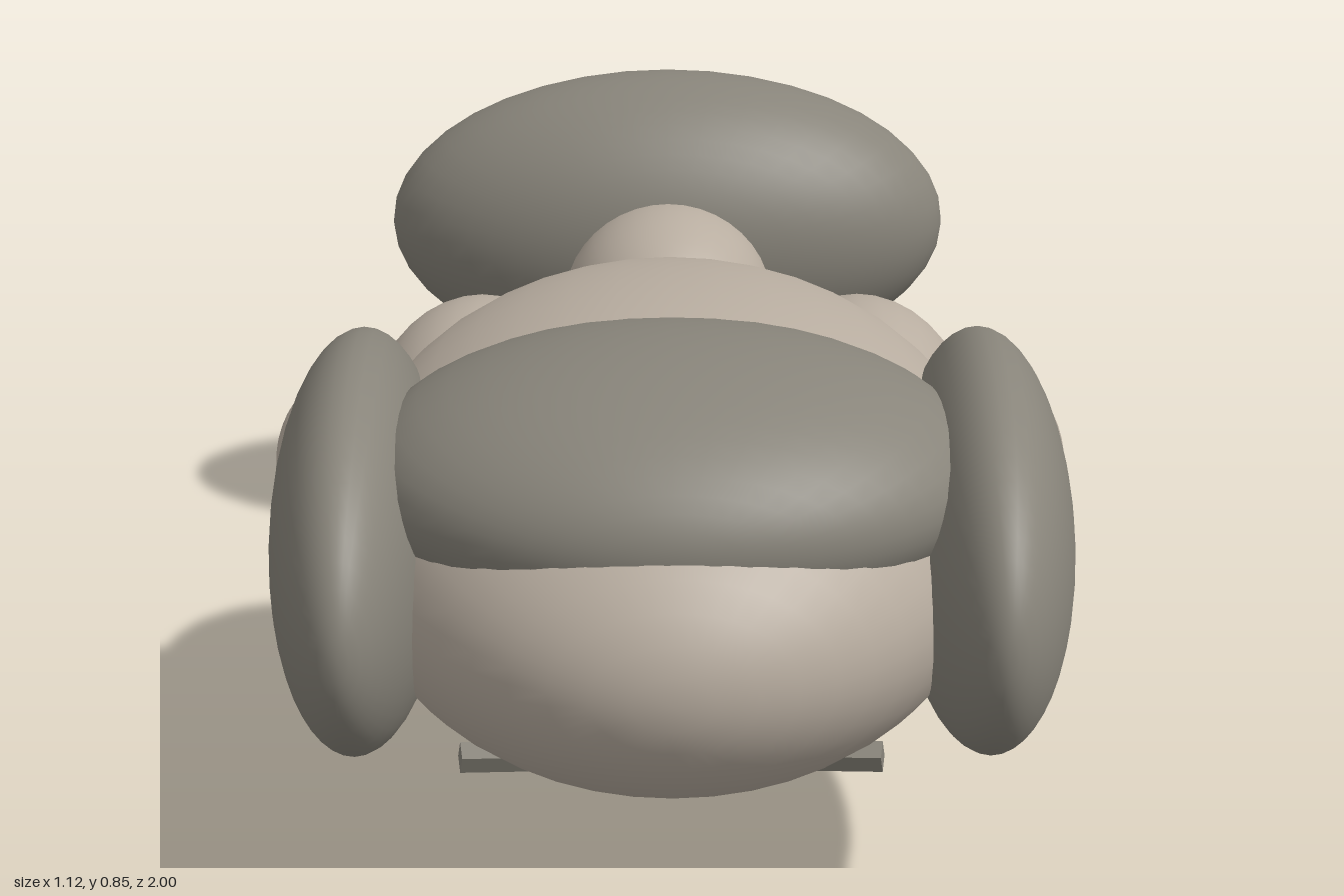
import * as THREE from 'three';

export function createModel() {
  const model = new THREE.Group();
  const skin = new THREE.MeshStandardMaterial({ color: 0xb8ada0 });
  skin.name = 'warm stone';
  const hair = new THREE.MeshStandardMaterial({ color: 0x88847a });
  hair.name = 'grey stone';

  const add = (name, geometry, material, pos, rot = [0, 0, 0]) => {
    const mesh = new THREE.Mesh(geometry, material);
    mesh.name = name;
    mesh.position.set(...pos);
    mesh.rotation.set(...rot);
    model.add(mesh);
    return mesh;
  };
  // Ellipsoid with its poles along z
  const blob = (name, material, pos, radii, rot) => {
    const g = new THREE.SphereGeometry(1, 40, 28);
    g.rotateX(Math.PI / 2);
    g.scale(...radii);
    return add(name, g, material, pos, rot);
  };

  // Head, lying face down with the crown towards +z
  blob('head', skin, [0, 0.49, 0.37], [0.44, 0.3, 0.63]);
  blob('topHair', hair, [0, 0.63, 0.6], [0.39, 0.17, 0.325]);

  // Neck and wide end mass
  blob('neck', skin, [0, 0.51, -0.5], [0.175, 0.17, 0.22]);
  blob('shoulders', hair, [0, 0.592, -0.755], [0.482, 0.262, 0.245]);

  // Paired parts of the head
  for (const s of [1, -1]) {
    const side = s > 0 ? 'left' : 'right';
    blob(side + 'SideHair', hair, [s * 0.4, 0.515, 0.535], [0.112, 0.25, 0.4], [0, -s * 0.04, 0]);
    blob(side + 'Cheek', skin, [s * 0.275, 0.455, 0.09], [0.18, 0.237, 0.265]);
    blob(side + 'Ear', skin, [s * 0.48, 0.49, 0.175], [0.08, 0.105, 0.165]);
    blob(side + 'Moustache', skin, [s * 0.155, 0.12, 0.09], [0.155, 0.078, 0.07], [0, 0, s * 0.08]);

    // Eye with lid and pupil, facing down
    blob(side + 'Eye', skin, [s * 0.2, 0.213, 0.425], [0.1, 0.026, 0.065]);
    add(side + 'Pupil', new THREE.CylinderGeometry(0.036, 0.026, 0.04, 20), skin, [s * 0.185, 0.175, 0.42]);

    // Two-piece bent brow
    for (const k of [1, -1]) {
      add(side + 'Brow', new THREE.BoxGeometry(0.104, 0.028, 0.03), hair,
        [s * 0.185 + k * 0.048, 0.18, 0.51], [0.4, -k * 0.15, k * 0.15]);
    }
    blob(side + 'Nostril', hair, [s * 0.04, 0.03, 0.135], [0.014, 0.014, 0.014]);
  }

  // Nose
  blob('noseBridge', skin, [0, 0.16, 0.285], [0.08, 0.085, 0.17]);
  blob('noseTip', skin, [0, 0.1, 0.174], [0.105, 0.095, 0.068]);

  // Beard in overlapping, tapering layers
  const layers = [
    [0.2, 0.0, 0.27, 0.12, 0.17],
    [0.22, -0.17, 0.262, 0.11, 0.15],
    [0.25, -0.32, 0.2, 0.125, 0.17],
    [0.285, -0.445, 0.14, 0.08, 0.11],
  ];
  layers.forEach(([y, z, rx, ry, rz], i) =>
    blob('beardLayer' + (i + 1), skin, [0, y, z], [rx, ry, rz], [0.2, 0, 0]));

  // Fine strands fanned over the underside of the beard
  for (let i = -5; i <= 5; i++) {
    const t = i / 5;
    const lift = 0.09 * t * t;
    const curve = new THREE.CatmullRomCurve3([
      new THREE.Vector3(t * 0.2, 0.085 + lift, -0.04),
      new THREE.Vector3(t * 0.18, 0.108 + lift, -0.19),
      new THREE.Vector3(t * 0.13, 0.14 + lift, -0.36),
    ]);
    add('beardStrand', new THREE.TubeGeometry(curve, 8, 0.005, 6), skin, [0, 0, 0]);
  }

  return model;
}
